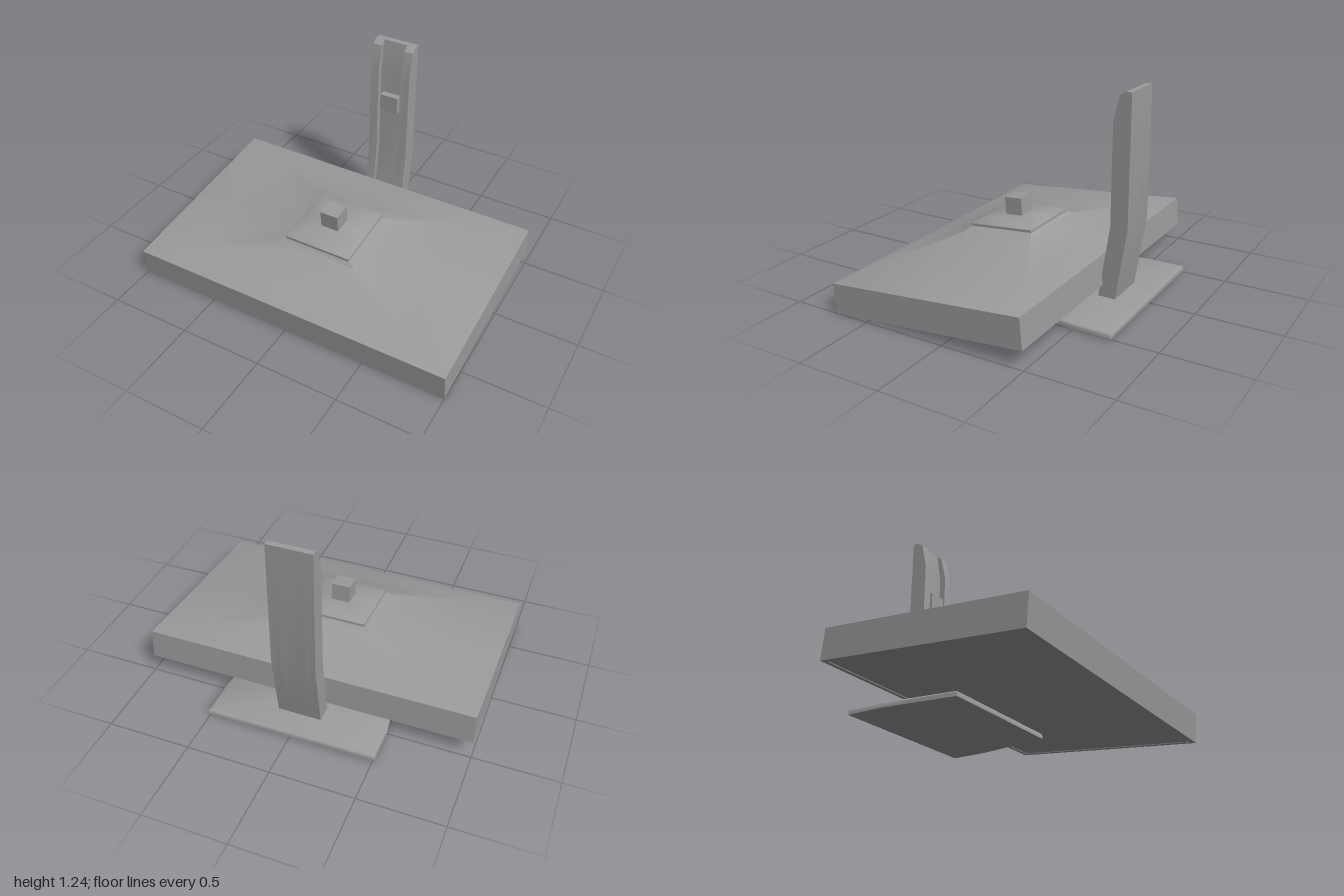
import * as THREE from 'three';
import { toCreasedNormals } from 'three/addons/utils/BufferGeometryUtils.js';

const grey = new THREE.MeshStandardMaterial({ color: 0x9c9c9c });

function part(name, geometry, parent) {
  const mesh = new THREE.Mesh(geometry, grey);
  mesh.name = name;
  parent.add(mesh);
  return mesh;
}

// Rectangular ring with a point in the middle of each side
const rect = (hx, hz, y) => [
  [hx, y, hz], [hx, y, 0], [hx, y, -hz], [0, y, -hz],
  [-hx, y, -hz], [-hx, y, 0], [-hx, y, hz], [0, y, hz],
];

// Outline of the stand's base, narrowing towards the front
const basePlan = (inset, y) => {
  const wide = 0.51 - inset, narrow = 0.445 - inset;
  const front = -0.04 - inset, back = -0.728 + inset;
  return [
    [narrow, y, front], [wide, y, -0.5], [wide, y, back],
    [-wide, y, back], [-wide, y, -0.5], [-narrow, y, front],
  ];
};

// Skin over stacked rings, capped at both ends; diagonals alternate for symmetry
function loft(rings) {
  const n = rings[0].length, index = [];
  const middle = (ring) => [0, 1, 2].map((k) => ring.reduce((s, p) => s + p[k], 0) / n);
  const points = [...rings.flat(), middle(rings[0]), middle(rings.at(-1))];
  const top = (rings.length - 1) * n, low = top + n;
  for (let i = 0; i < n; i++) {
    const j = (i + 1) % n;
    for (let r = 0; r < top; r += n) {
      const a = r + i, b = r + j, c = b + n, d = a + n;
      index.push(...(i % 2 ? [a, b, d, b, c, d] : [a, b, c, a, c, d]));
    }
    index.push(low, j, i, low + 1, top + i, top + j);
  }
  const g = new THREE.BufferGeometry();
  g.setAttribute('position', new THREE.Float32BufferAttribute(points.flat(), 3));
  g.setIndex(index);
  return toCreasedNormals(g, Math.PI / 5);
}

// Side profile of [z, y] points, extruded across x and centred at x
function sideProfile(points, width, x = 0) {
  const shape = new THREE.Shape(points.map(([z, y]) => new THREE.Vector2(z, y)));
  const g = new THREE.ExtrudeGeometry(shape, { depth: width, bevelEnabled: false });
  g.translate(0, 0, -width / 2).rotateY(-Math.PI / 2).translate(x, 0, 0);
  return toCreasedNormals(g, Math.PI / 6);
}

export function createModel() {
  const model = new THREE.Group();
  model.name = 'displayAndStand';

  // Display lying face down, tilted towards the front
  const display = new THREE.Group();
  display.name = 'display';
  display.position.set(0, 0.0535, 0.112);
  display.rotation.x = 0.0885;
  model.add(display);

  // Recessed screen, bezel, side walls and domed back in one skin
  part('displayHousing', loft([
    rect(0.972, 0.578, 0.004),
    rect(0.972, 0.578, 0),
    rect(1, 0.606, 0),
    rect(1, 0.606, 0.178),
    rect(0.7, 0.456, 0.225),
    rect(0.26, 0.229, 0.274),
    rect(0.21, 0.208, 0.296),
  ]), display);

  part('mountPlate', loft([
    rect(0.21, 0.208, 0.27),
    rect(0.21, 0.208, 0.312),
    rect(0.15, 0.16, 0.336),
  ]), display);

  part('mountBlock', new THREE.BoxGeometry(0.114, 0.122, 0.112).translate(0, 0.382, 0), display);

  // Stand
  const stand = new THREE.Group();
  stand.name = 'stand';
  model.add(stand);

  // Base plate with a softly rounded top edge
  part('base', loft([
    basePlan(0, 0.004),
    basePlan(0, 0.028),
    basePlan(0.004, 0.034),
    basePlan(0.012, 0.038),
  ]), stand);

  // Column: a thin web between two full-depth side rails
  const back = [[-0.635, 1.238], [-0.635, 0.465], [-0.57, 0.035]];
  part('columnWeb', sideProfile([
    ...back, [-0.5, 0.035], [-0.566, 0.468], [-0.57, 1.06], [-0.6, 1.238],
  ], 0.15), stand);
  for (const side of [-1, 1]) {
    part(side > 0 ? 'leftRail' : 'rightRail', sideProfile([
      ...back, [-0.465, 0.035], [-0.53, 0.47], [-0.53, 1.06], [-0.565, 1.213], [-0.6, 1.238],
    ], 0.056, side * 0.103), stand);
  }

  part('columnSlider', new THREE.BoxGeometry(0.114, 0.11, 0.05).translate(0, 0.845, -0.552), stand);

  return model;
}
